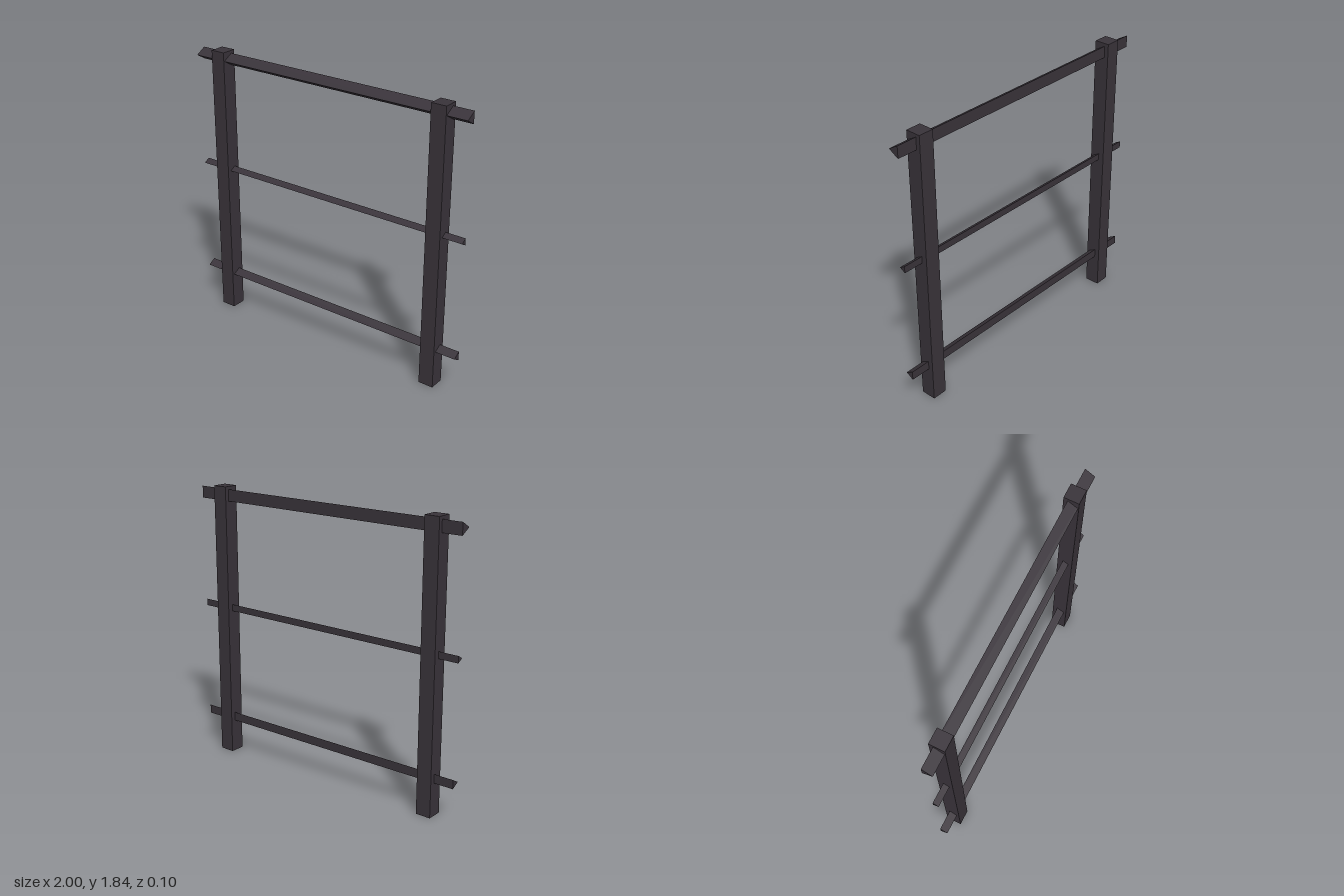
import * as THREE from 'three';

export function createModel() {
  const group = new THREE.Group();
  const wood = new THREE.MeshStandardMaterial({ color: 0x39333a, flatShading: true });
  wood.name = 'dark wood';

  const add = (name, geometry, x, y) => {
    const mesh = new THREE.Mesh(geometry, wood);
    mesh.name = name;
    mesh.position.set(x, y, 0);
    group.add(mesh);
  };

  // Square upright posts
  const postHeight = 1.836;
  for (const [name, side] of [['leftPost', 1], ['rightPost', -1]]) {
    add(name, new THREE.BoxGeometry(0.1, postHeight, 0.1), side * 0.816, postHeight / 2);
  }

  // Triangular rails running along x, with one edge facing the front
  const rails = [
    ['topRail', 1.779, 0.045],
    ['middleRail', 1.024, 0.026],
    ['bottomRail', 0.249, 0.034],
  ];
  for (const [name, y, radius] of rails) {
    add(name, new THREE.CylinderGeometry(radius, radius, 2, 3).rotateZ(Math.PI / 2), 0, y);
  }

  return group;
}
